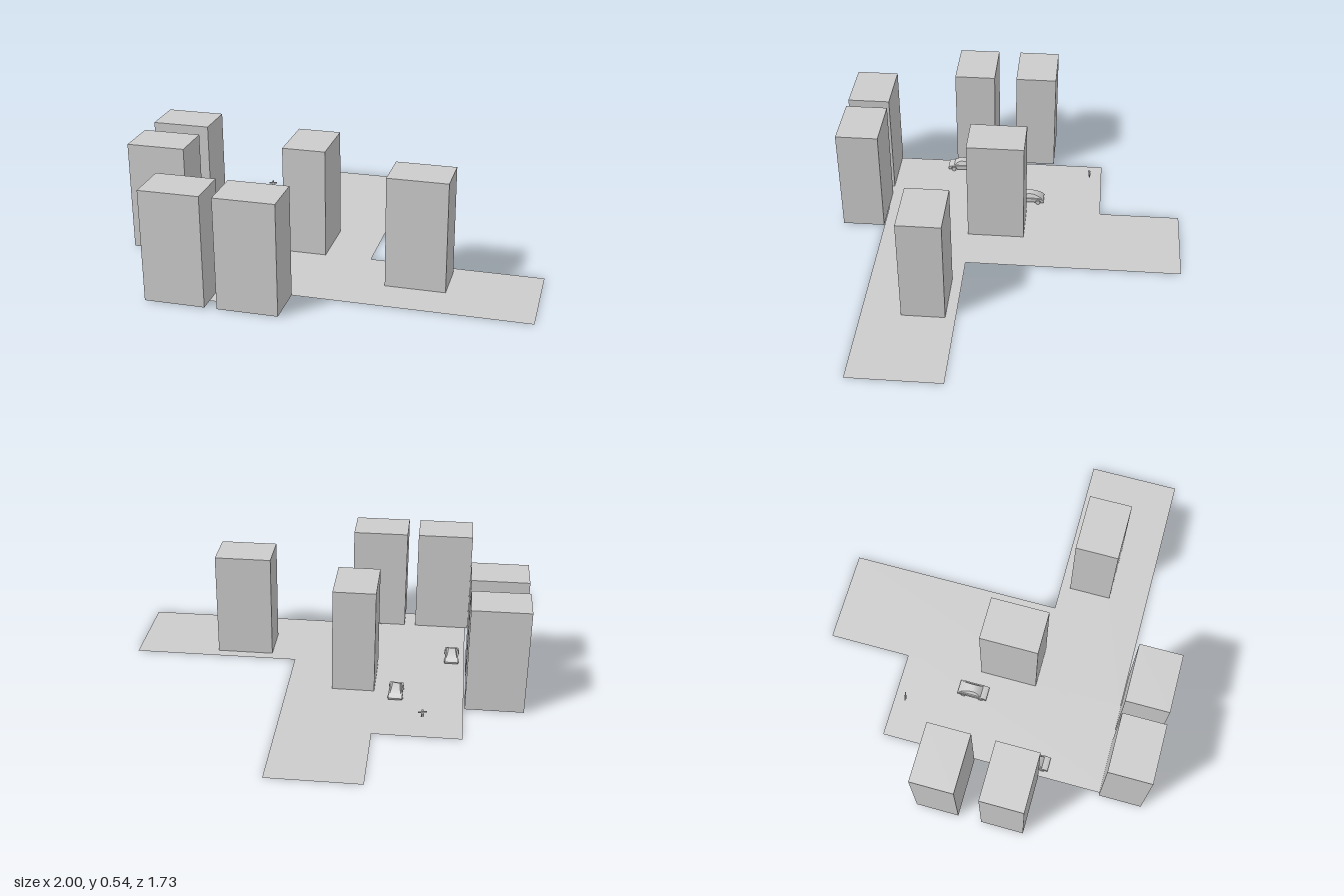
import * as THREE from 'three';

const grey = new THREE.MeshStandardMaterial({ color: 0xcccccc });
grey.name = 'concreteGrey';
const sheet = new THREE.MeshStandardMaterial({ color: 0xcccccc, side: THREE.DoubleSide });
sheet.name = 'concreteGreySheet';

function add(parent, name, geometry, x = 0, y = 0, z = 0, material = grey) {
  const mesh = new THREE.Mesh(geometry, material);
  mesh.name = name;
  mesh.position.set(x, y, z);
  parent.add(mesh);
  return mesh;
}

// Side outline (z, y) extruded across the car's width
function extrudeAcross(shape, width) {
  return new THREE.ExtrudeGeometry(shape, { depth: width, bevelEnabled: false, curveSegments: 10 })
    .translate(0, 0, -width / 2)
    .rotateY(-Math.PI / 2);
}

function createCar() {
  const car = new THREE.Group();
  car.name = 'car';

  // Lower body with wheel arches
  const body = new THREE.Shape();
  body.moveTo(-0.074, 0.009);
  body.lineTo(-0.06, 0.009);
  body.absarc(-0.045, 0.011, 0.015, Math.PI, 0, true);
  body.lineTo(0.03, 0.009);
  body.absarc(0.045, 0.011, 0.015, Math.PI, 0, true);
  body.lineTo(0.074, 0.009);
  body.lineTo(0.075, 0.022);
  body.quadraticCurveTo(0.068, 0.031, 0.03, 0.033);
  body.lineTo(-0.045, 0.033);
  body.quadraticCurveTo(-0.068, 0.031, -0.075, 0.017);
  add(car, 'body', extrudeAcross(body, 0.068));

  // Curved cabin, narrowing towards the roof
  const cabin = new THREE.Shape();
  cabin.moveTo(-0.068, 0.028);
  cabin.bezierCurveTo(-0.052, 0.043, -0.028, 0.055, 0.002, 0.055);
  cabin.quadraticCurveTo(0.022, 0.055, 0.045, 0.031);
  const cabinGeometry = extrudeAcross(cabin, 0.058);
  const p = cabinGeometry.attributes.position;
  for (let i = 0; i < p.count; i++) {
    p.setX(i, p.getX(i) * (1 - 0.35 * Math.max(0, p.getY(i) - 0.031) / 0.024));
  }
  cabinGeometry.computeVertexNormals();
  add(car, 'cabin', cabinGeometry);

  // Wheels
  const wheel = new THREE.CylinderGeometry(0.012, 0.012, 0.012, 18).rotateZ(Math.PI / 2);
  for (const x of [-0.031, 0.031]) {
    for (const z of [-0.045, 0.045]) add(car, 'wheel', wheel, x, 0.012, z);
  }
  return car;
}

// Small hovering figure
function createFigure() {
  const figure = new THREE.Group();
  figure.name = 'figure';
  add(figure, 'torso', new THREE.BoxGeometry(0.013, 0.015, 0.007), 0, 0.022, 0);
  add(figure, 'head', new THREE.SphereGeometry(0.005, 12, 8), 0, 0.035, 0);
  for (const side of [-1, 1]) {
    add(figure, 'arm', new THREE.BoxGeometry(0.014, 0.005, 0.005), side * 0.0135, 0.026, 0);
    add(figure, 'leg', new THREE.BoxGeometry(0.005, 0.016, 0.006), side * 0.004, 0.008, 0);
  }
  return figure;
}

export function createModel() {
  const model = new THREE.Group();
  model.name = 'cityBlock';

  // Road slabs: x range, z range
  const roads = [
    [-0.283, 0.167, -0.868, 0.378],
    [-0.254, 1.0, 0.197, 0.648],
    [-0.708, -0.254, -0.46, 0.79],
  ];
  for (const [x0, x1, z0, z1] of roads) {
    add(model, 'road', new THREE.PlaneGeometry(x1 - x0, z1 - z0).rotateX(-Math.PI / 2),
      (x0 + x1) / 2, 0, (z0 + z1) / 2, sheet);
  }

  // Buildings: centre x, centre z, width, depth
  const height = 0.535;
  const buildings = [
    [-0.857, -0.09, 0.284, 0.21],
    [-0.857, 0.235, 0.284, 0.21],
    [-0.58, 0.755, 0.284, 0.21],
    [-0.238, 0.755, 0.284, 0.21],
    [-0.162, 0.067, 0.21, 0.284],
    [0.435, 0.351, 0.284, 0.21],
  ];
  for (const [x, z, w, d] of buildings) {
    add(model, 'building', new THREE.BoxGeometry(w, height, d), x, height / 2 + 0.002, z);
  }

  // Cars on the road
  for (const [x, z] of [[-0.376, -0.086], [-0.643, 0.303]]) {
    const car = createCar();
    car.position.set(x, 0.001, z);
    model.add(car);
  }

  const figure = createFigure();
  figure.position.set(-0.516, 0.07, -0.395);
  figure.rotation.y = 0.24;
  model.add(figure);

  return model;
}
